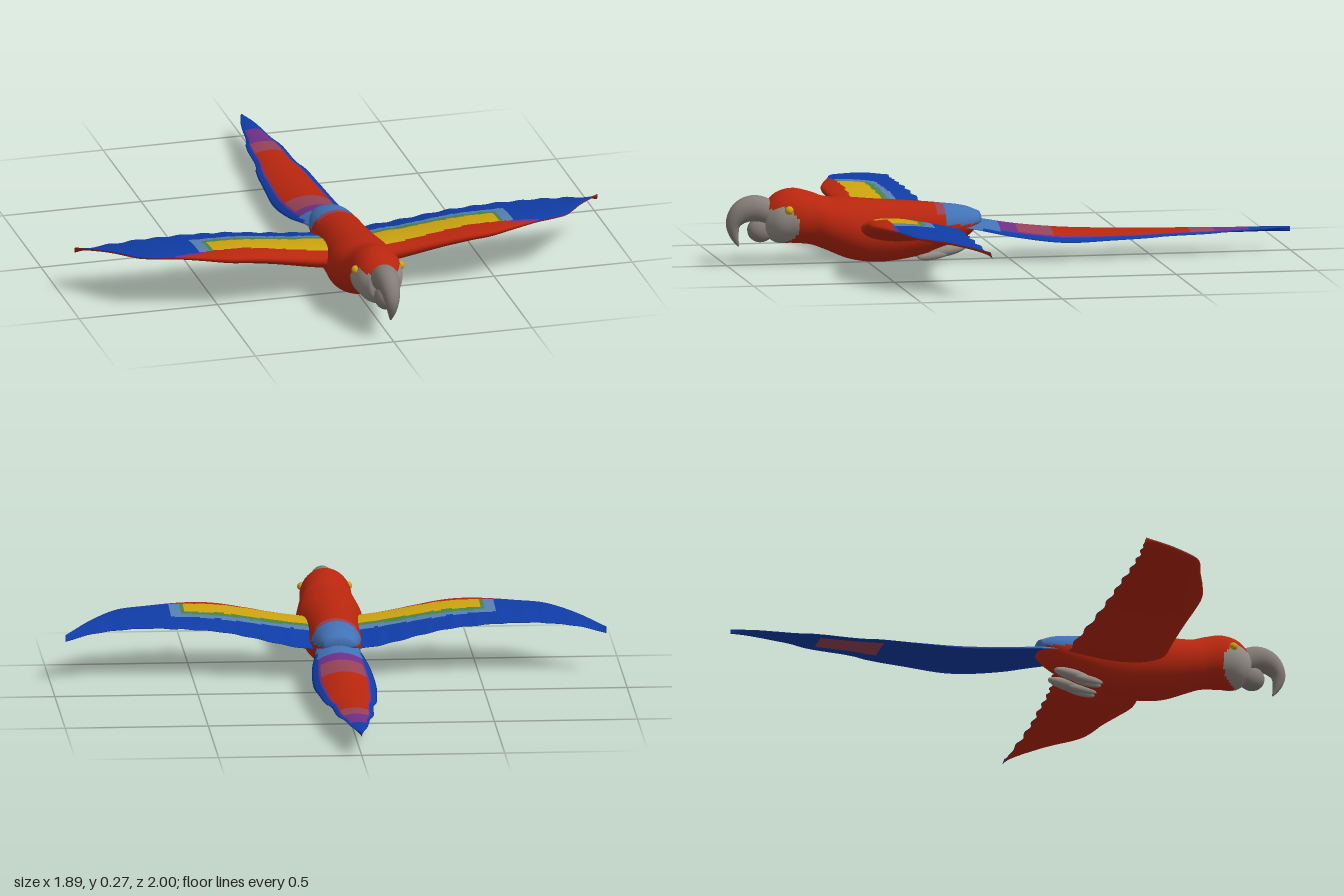
import * as THREE from 'three';

const COLORS = {
  red: 0xb8260e, blue: 0x103ca6, lightBlue: 0x4272b6, yellow: 0xcca30f, green: 0x4a8244,
  mauve: 0x974257, purple: 0x6f2f88, slate: 0x557fb4, beakGrey: 0x857d77, faceGrey: 0x968f88,
};

// Smooth interpolation through rows of [position, values...]
function profile(rows) {
  const n = rows[0].length - 1;
  const curve = new THREE.CubicInterpolant(rows.map(r => r[0]), rows.flatMap(r => r.slice(1)), n);
  return t => [...curve.evaluate(t)];
}

const steps = (a, b, n) => Array.from({ length: n + 1 }, (_, i) => a + (b - a) * i / n);

// Skin over closed rings of [x, y, z], capped at both ends; paint(centre, normal) names each face's colour
function loft(rings, paint, materials) {
  const n = rings[0].length, verts = rings.flat();
  const middle = r => [0, 1, 2].map(k => r.reduce((s, p) => s + p[k], 0) / n);
  const start = verts.push(middle(rings[0])) - 1;
  const end = verts.push(middle(rings.at(-1))) - 1;
  const buckets = {};
  const V = i => new THREE.Vector3(...verts[i]);
  const face = (...quad) => {
    const pts = quad.map(V);
    const centre = pts.reduce((s, p) => s.add(p), new THREE.Vector3()).divideScalar(pts.length);
    const normal = V(quad[1]).sub(V(quad[0])).cross(V(quad.at(-1)).sub(V(quad[0]))).normalize();
    const list = (buckets[paint(centre, normal)] ??= []);
    if (quad.length === 3) list.push(...quad);
    else list.push(quad[0], quad[1], quad[3], quad[1], quad[2], quad[3]);
  };
  for (let j = 0; j < n; j++) {
    const k = (j + 1) % n, last = (rings.length - 1) * n;
    face(start, j, k);
    for (let i = 0; i < last; i += n) face(i + j, i + n + j, i + n + k, i + k);
    face(last + j, end, last + k);
  }
  const geometry = new THREE.BufferGeometry(), index = [], used = [];
  for (const [name, list] of Object.entries(buckets)) {
    geometry.addGroup(index.length, list.length, used.length);
    index.push(...list);
    used.push(materials[name]);
  }
  geometry.setAttribute('position', new THREE.Float32BufferAttribute(verts.flat(), 3));
  geometry.setIndex(index);
  geometry.computeVertexNormals();
  return new THREE.Mesh(geometry, used);
}

// Body and head: z, top, bottom, half width
const bodyAt = profile([
  [0.105, 0.172, 0.125, 0.05], [0.15, 0.19, 0.085, 0.072], [0.25, 0.205, 0.04, 0.09],
  [0.35, 0.215, 0.015, 0.096], [0.47, 0.224, 0.003, 0.108], [0.57, 0.233, 0.018, 0.117],
  [0.66, 0.24, 0.055, 0.104], [0.7, 0.255, 0.07, 0.093], [0.77, 0.27, 0.078, 0.09],
  [0.83, 0.252, 0.082, 0.076], [0.868, 0.215, 0.11, 0.045],
]);

function bodyRings() {
  return steps(0.105, 0.868, 76).map(z => {
    const [top, bottom, w] = bodyAt(z);
    return steps(0, Math.PI * 2, 48).slice(0, -1).map(a =>
      [w * Math.sin(a), (top + bottom) / 2 + (top - bottom) / 2 * Math.cos(a), z]);
  });
}

function paintBody(c) {
  if (Math.hypot((c.z - 0.82) / 0.066, (c.y - 0.145) / 0.066) < 1) return 'faceGrey';
  if (c.z < 0.24 && c.y > 0.135) return 'lightBlue';
  if (c.z < 0.265 && c.y > 0.17) return 'mauve';
  return 'red';
}

// Wing: x, leading z, trailing z, height, half thickness
const wingAt = profile([
  [0.04, 0.54, 0.2, 0.13, 0.036], [0.12, 0.545, 0.2, 0.137, 0.039], [0.2, 0.55, 0.215, 0.15, 0.035],
  [0.3, 0.562, 0.237, 0.17, 0.03], [0.4, 0.575, 0.252, 0.187, 0.026], [0.47, 0.576, 0.258, 0.193, 0.023],
  [0.55, 0.555, 0.262, 0.198, 0.018], [0.65, 0.52, 0.268, 0.2, 0.012], [0.74, 0.492, 0.266, 0.198, 0.009],
  [0.77, 0.472, 0.265, 0.195, 0.008], [0.85, 0.37, 0.255, 0.187, 0.006], [0.945, 0.245, 0.238, 0.165, 0.002],
]);

function wingRings(side) {
  return steps(0.04, 0.945, 72).map(x => {
    const [lead, trail, y, thick] = wingAt(x);
    const scallop = 0.005 * Math.sin(x * 74) * Math.min(1, (0.945 - x) * 8);
    const point = (s, sign) => {
      const c = s ** 1.4;
      return [side * x, y - 0.02 * c + sign * (thick * 2.6 * Math.sqrt(c) * (1 - c) + 0.001),
        lead + (trail + scallop - lead) * c];
    };
    const ring = [...steps(0, 1, 36).map(s => point(s, 1)), ...steps(1, 0.03, 16).map(s => point(s, -1))];
    return side > 0 ? ring : ring.reverse();
  });
}

function paintWing(c, normal) {
  if (normal.y < 0) return 'red';
  const x = Math.abs(c.x), back = 0.377 + 0.075 * x, front = 0.5 + 0.02 * x;
  if (c.z > front) return x < 0.56 ? 'red' : x < 0.66 ? (c.z > 0.525 ? 'red' : 'purple') : 'blue';
  if (x < 0.515 && c.z > back) return 'yellow';
  if (x < 0.535 && c.z > back - 0.027) return 'green';
  if (x < 0.57 && c.z > back - 0.055) return 'slate';
  return 'blue';
}

// Tail: z, half width, centre height, edge height
const tailAt = profile([
  [-1, 0.002, 0.086, 0.085], [-0.92, 0.025, 0.088, 0.083], [-0.85, 0.036, 0.088, 0.081],
  [-0.77, 0.047, 0.089, 0.079], [-0.72, 0.061, 0.09, 0.077], [-0.53, 0.077, 0.093, 0.073],
  [-0.5, 0.086, 0.093, 0.072], [-0.35, 0.1, 0.098, 0.068], [-0.18, 0.11, 0.107, 0.066],
  [0, 0.101, 0.127, 0.09], [0.1, 0.085, 0.145, 0.11], [0.18, 0.072, 0.155, 0.125],
]);

function tailRings() {
  return steps(-1, 0.18, 94).map(z => {
    const [w, mid, edge] = tailAt(z);
    const point = (q, drop) => [w * q, edge + (mid - edge - drop) * (1 - q * q), z];
    return [...steps(-1, 1, 28).map(q => point(q, 0)), ...steps(1, -1, 28).slice(1, -1).map(q => point(q, 0.016))];
  });
}

function paintTail(c, normal) {
  const q = Math.abs(c.x) / tailAt(c.z)[0];
  if (normal.y < 0) return c.z > -0.68 && c.z < -0.46 && q < 0.6 ? 'mauve' : 'blue';
  if (c.z > 0.04) return q > 0.85 && c.z < 0.1 ? 'blue' : 'lightBlue';
  if (c.z < -0.85 || q > 0.8) return 'blue';
  if (c.z < -0.73 || c.z > -0.02 || q > 0.73) return 'purple';
  return c.z < -0.63 || c.z > -0.15 ? 'mauve' : 'red';
}

// Hooked upper beak: position along it, z, y, half depth, half width
const beakAt = profile([
  [0, 0.84, 0.18, 0.045, 0.045], [0.25, 0.9, 0.202, 0.047, 0.043], [0.5, 0.95, 0.187, 0.04, 0.036],
  [0.7, 0.977, 0.148, 0.026, 0.026], [0.85, 0.973, 0.108, 0.016, 0.016], [1, 0.958, 0.07, 0.003, 0.003],
]);

function beakRings() {
  return steps(0, 1, 24).map(t => {
    const [z, y, depth, width] = beakAt(t);
    const a = beakAt(Math.max(0, t - 0.01)), b = beakAt(Math.min(1, t + 0.01));
    const angle = Math.atan2(b[1] - a[1], b[0] - a[0]);
    return steps(0, Math.PI * 2, 24).slice(0, -1).map(r => [width * Math.sin(r),
      y + depth * Math.cos(r) * Math.cos(angle), z - depth * Math.cos(r) * Math.sin(angle)]);
  });
}

export function createModel() {
  const model = new THREE.Group();
  model.name = 'flyingParrot';
  const materials = {};
  for (const [name, color] of Object.entries(COLORS)) {
    materials[name] = new THREE.MeshStandardMaterial({ color });
    materials[name].name = name;
  }
  const add = (name, mesh) => { mesh.name = name; model.add(mesh); return mesh; };
  const blob = (name, color, position, size, tilt = 0) => {
    const mesh = add(name, new THREE.Mesh(new THREE.SphereGeometry(1, 24, 16), materials[color]));
    mesh.position.set(...position);
    mesh.scale.set(...size);
    mesh.rotation.x = tilt;
  };

  add('body', loft(bodyRings(), paintBody, materials));
  add('tail', loft(tailRings(), paintTail, materials));
  add('upperBeak', loft(beakRings(), () => 'beakGrey', materials));
  blob('lowerBeak', 'beakGrey', [0, 0.126, 0.88], [0.036, 0.044, 0.047]);

  for (const side of [1, -1]) {
    const label = side > 0 ? 'left' : 'right';
    add(label + 'Wing', loft(wingRings(side), paintWing, materials));
    blob(label + 'Eye', 'yellow', [side * 0.081, 0.203, 0.793], [0.015, 0.015, 0.015]);
    // Tucked foot with two toes
    blob(label + 'Foot', 'faceGrey', [side * 0.042, 0.042, 0.225], [0.022, 0.02, 0.07], 0.2);
    for (const offset of [-0.013, 0.013])
      blob(label + 'Toe', 'faceGrey', [side * 0.042 + offset, 0.026, 0.275], [0.011, 0.014, 0.055], 0.15);
  }
  return model;
}
